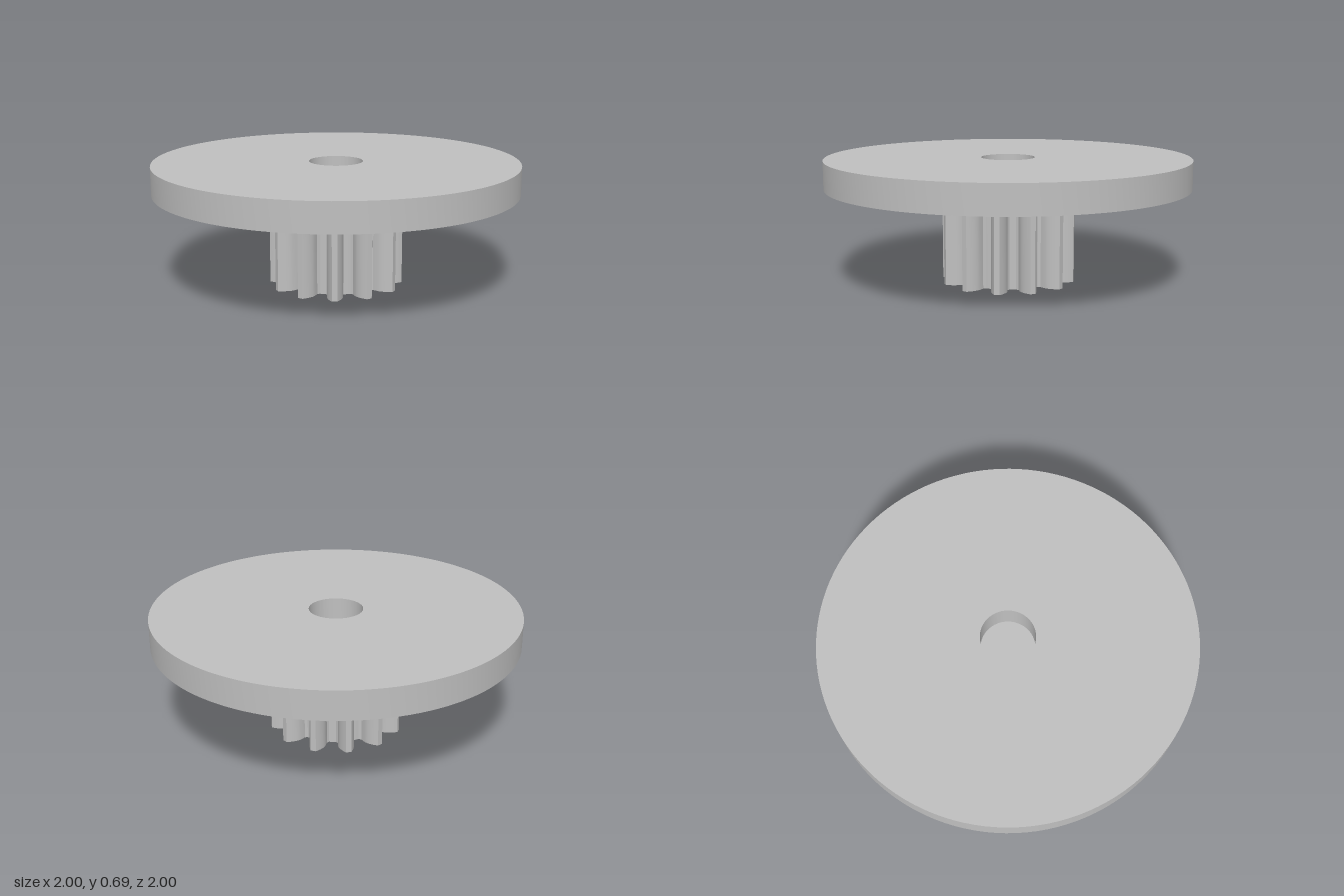
import * as THREE from 'three';
import { toCreasedNormals } from 'three/addons/utils/BufferGeometryUtils.js';

const TEETH = 12;
const ROOT_R = 0.248, BASE_R = 0.294, TIP_R = 0.367;
const GEAR_H = 0.53, DISC_H = 0.155;
const BASE_HALF = THREE.MathUtils.degToRad(8.35); // half tooth angle at the base circle

// Half angle of a tooth at radius r: involute above the base circle, radial below
function halfAngle(r) {
  if (r <= BASE_R) return BASE_HALF;
  const a = Math.acos(BASE_R / r);
  return BASE_HALF - (Math.tan(a) - a);
}

function gearShape() {
  const points = [];
  const add = (r, a) => points.push(new THREE.Vector2(r * Math.cos(a), r * Math.sin(a)));
  const radii = [ROOT_R + 0.012, BASE_R];
  for (let i = 1; i <= 5; i++) radii.push(BASE_R + (TIP_R - BASE_R) * i / 5);
  const pitch = Math.PI * 2 / TEETH;
  for (let t = 0; t < TEETH; t++) {
    const mid = t * pitch;
    for (const r of radii) add(r, mid - halfAngle(r));
    for (const r of [...radii].reverse()) add(r, mid + halfAngle(r));
    // rounded valley floor
    for (const f of [0.36, 0.5, 0.64]) add(ROOT_R, mid + pitch * f);
  }
  return new THREE.Shape(points);
}

// Extrude a plan shape upwards, smooth on curves and sharp on rims
function extrudeUp(shape, depth, curveSegments) {
  const geo = new THREE.ExtrudeGeometry(shape, { depth, bevelEnabled: false, curveSegments });
  geo.rotateX(-Math.PI / 2);
  return toCreasedNormals(geo, 0.5);
}

export function createModel() {
  const group = new THREE.Group();
  const grey = new THREE.MeshStandardMaterial({ color: 0xc0c0c0 });
  grey.name = 'plain grey';

  // Toothed pinion; its top closes the bore
  const pinion = new THREE.Mesh(extrudeUp(gearShape(), GEAR_H, 1), grey);
  pinion.name = 'pinion';
  group.add(pinion);

  // Wide disc with a central bore
  const plan = new THREE.Shape().absarc(0, 0, 1, 0, Math.PI * 2, false);
  plan.holes.push(new THREE.Path().absarc(0, 0, 0.147, 0, Math.PI * 2, true));
  const disc = new THREE.Mesh(extrudeUp(plan, DISC_H, 60), grey);
  disc.name = 'disc';
  disc.position.y = GEAR_H;
  group.add(disc);

  return group;
}
